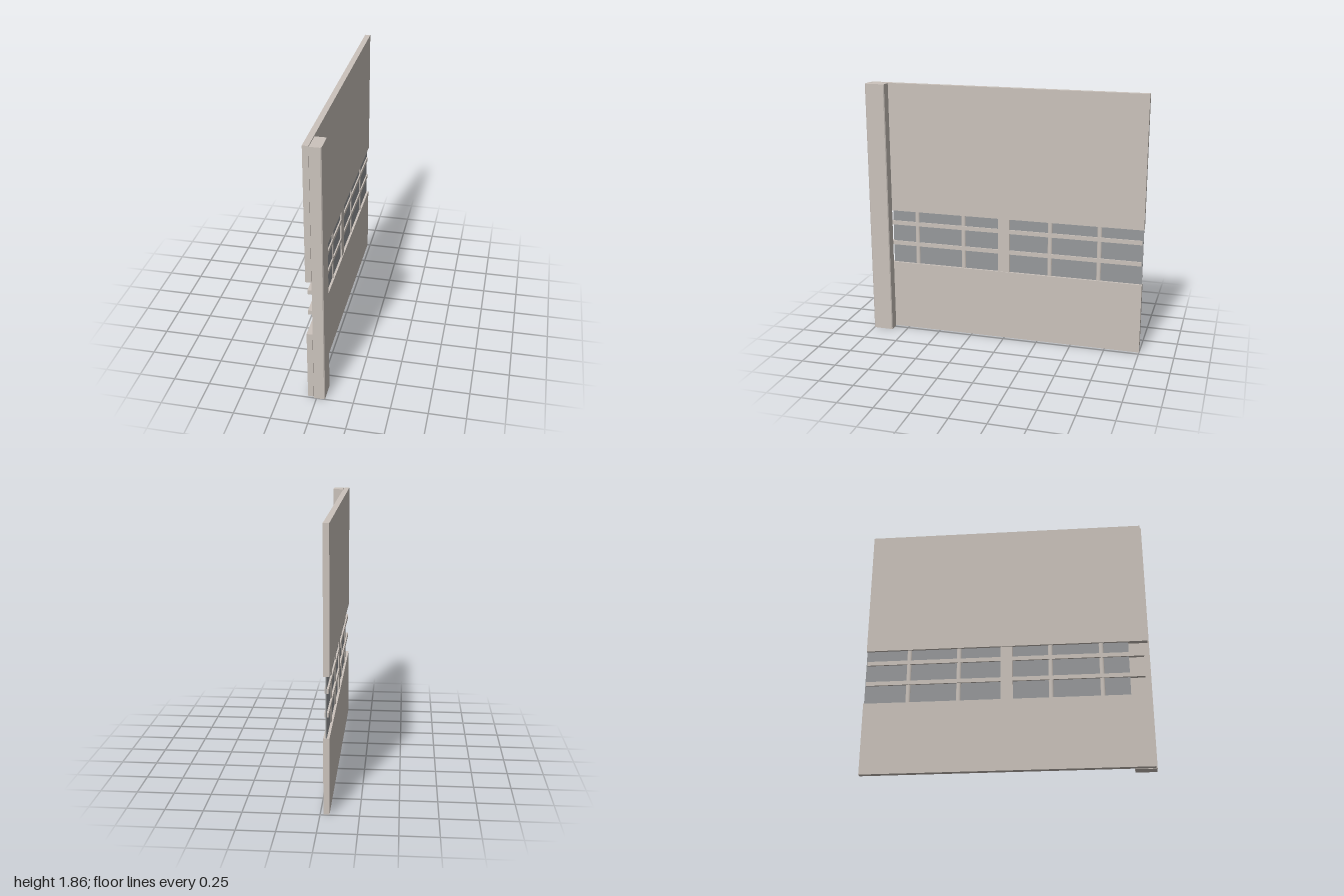
import * as THREE from 'three';

export function createModel() {
  const model = new THREE.Group();
  const plaster = new THREE.MeshStandardMaterial({ color: 0xcbc3bc });
  plaster.name = 'warm grey plaster';
  const glass = new THREE.MeshStandardMaterial({ color: 0x97999b });
  glass.name = 'grey glass';

  const add = (name, geometry, material) => {
    const mesh = new THREE.Mesh(geometry, material);
    mesh.name = name;
    model.add(mesh);
    return mesh;
  };
  // Box given by its lower and upper limits on each axis
  const box = (name, [x0, x1], [y0, y1], [z0, z1], material = plaster) =>
    add(name, new THREE.BoxGeometry(x1 - x0, y1 - y0, z1 - z0), material)
      .position.set((x0 + x1) / 2, (y0 + y1) / 2, (z0 + z1) / 2);

  const height = 1.855, sill = 0.515, head = 0.915;
  const wallX = [-0.06, -0.021], wallZ = [-1, 0.99];

  // Wall above and below the window band
  box('lowerWall', wallX, [0.003, sill], wallZ);
  box('upperWall', wallX, [head, height], wallZ);

  // Corner post with slightly chamfered outer edges
  const x0 = -0.017, x1 = 0.058, z0 = 0.855, z1 = 1, c = 0.006;
  const outline = new THREE.Shape([
    [x0, -z1], [x1 - c, -z1], [x1, -z1 + c], [x1, -z0 - c], [x1 - c, -z0], [x0, -z0],
  ].map(([x, y]) => new THREE.Vector2(x, y)));
  const post = new THREE.ExtrudeGeometry(outline, { depth: height, bevelEnabled: false });
  post.rotateX(-Math.PI / 2);
  add('cornerPost', post, plaster);

  // Window band
  box('windowGlass', [-0.043, -0.037], [sill, head], [-0.998, 0.855], glass);
  box('centreMullion', [-0.052, -0.026], [sill, head], [-0.04, 0.045]);

  // Horizontal rails, stopping at the centre mullion
  for (const y of [0.665, 0.82]) {
    box('rearRail', [-0.055, -0.028], [y - 0.015, y + 0.015], [-0.99, -0.04]);
    box('frontRail', [-0.055, -0.028], [y - 0.015, y + 0.015], [0.045, 0.96]);
  }

  // Slim rounded glazing bars
  for (const z of [0.665, 0.31, -0.335, -0.69]) {
    const bar = new THREE.CylinderGeometry(1, 1, head - sill, 12, 1);
    bar.scale(0.011, 1, 0.017);
    add('glazingBar', bar, plaster).position.set(-0.04, (sill + head) / 2, z);
  }
  return model;
}
